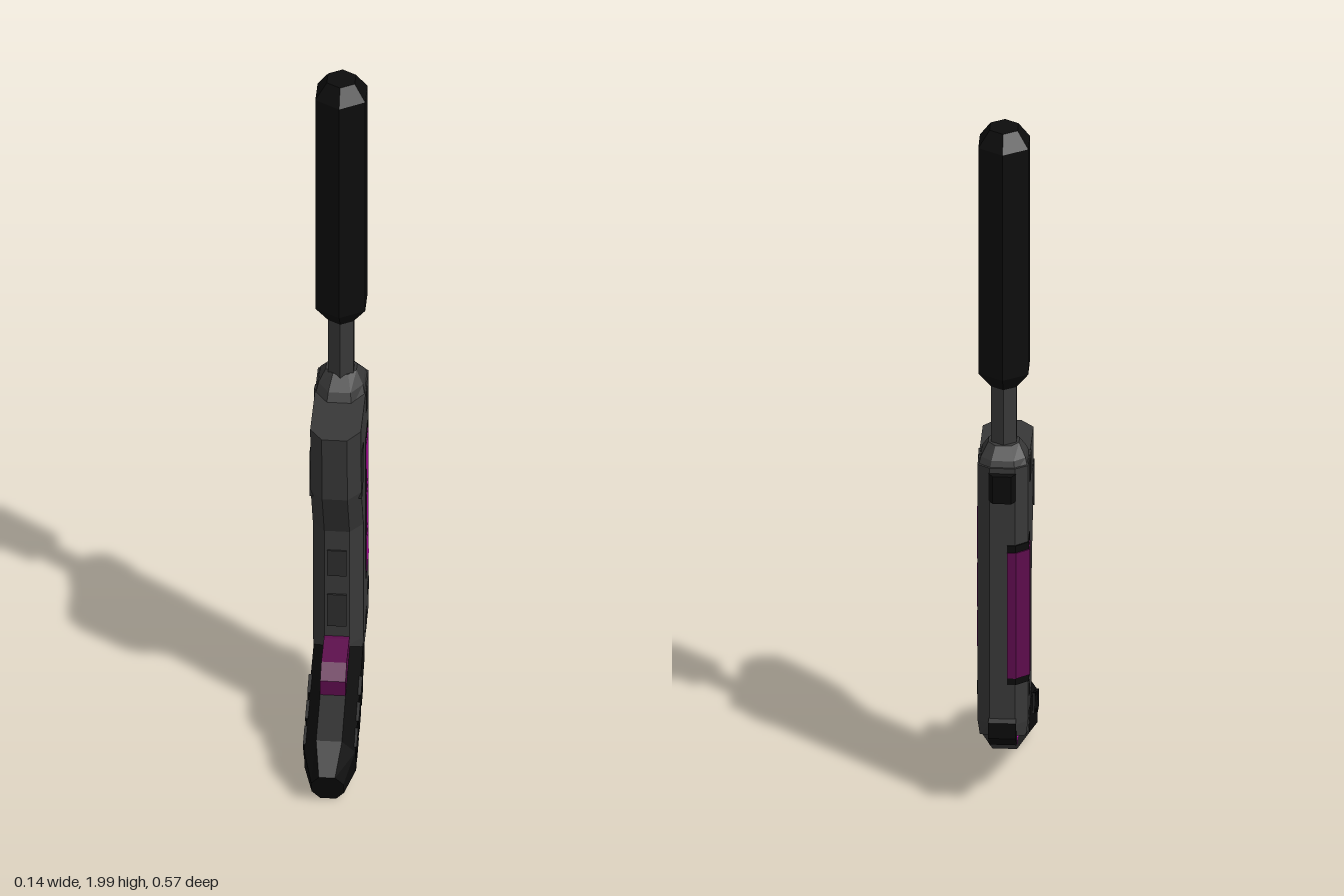
import * as THREE from 'three';

const mat = (color) => new THREE.MeshStandardMaterial({ color, flatShading: true });
const grey = mat(0x383838), dark = mat(0x2c2c2c), black = mat(0x0c0c0c);
const pink = mat(0xcc10bb), purple = mat(0x5c0c4c);

// Eight-sided loft; each section is [zA, yA, zB, yB, halfWidth],
// h = width share of the end faces, cA / cB = chamfer lengths at A and B
function loft(sections, h, cA, cB) {
  const rings = sections.map(([zA, yA, zB, yB, w]) => {
    const len = Math.hypot(zB - zA, yB - yA);
    const a = Math.min(cA / len, 0.3), b = 1 - Math.min(cB / len, 0.3);
    return [[-h, 0], [h, 0], [1, a], [1, b], [h, 1], [-h, 1], [-1, b], [-1, a]]
      .map(([x, t]) => [x * w, yA + (yB - yA) * t, zA + (zB - zA) * t]);
  });
  const pos = [];
  const tri = (...p) => p.forEach((v) => pos.push(...v));
  for (let s = 0; s < rings.length - 1; s++) {
    for (let i = 0; i < 8; i++) {
      const j = (i + 1) % 8, r = rings[s], q = rings[s + 1];
      tri(r[i], r[j], q[j]);
      tri(r[i], q[j], q[i]);
    }
  }
  const first = rings[0], last = rings[rings.length - 1];
  for (let i = 1; i < 7; i++) {
    tri(first[0], first[i + 1], first[i]);
    tri(last[0], last[i], last[i + 1]);
  }
  const g = new THREE.BufferGeometry();
  g.setAttribute('position', new THREE.Float32BufferAttribute(pos, 3));
  g.computeVertexNormals();
  return g;
}

// Side-profile plate: points are [z, y], spanning x0..x1
function slab(pts, x0, x1) {
  const shape = new THREE.Shape(pts.map(([z, y]) => new THREE.Vector2(z, y)));
  const g = new THREE.ExtrudeGeometry(shape, { depth: x1 - x0, bevelEnabled: false });
  return g.rotateY(-Math.PI / 2).translate(x1, 0, 0);
}

// Plan-outline block: points are [x, z], spanning y0..y1
function block(pts, y0, y1) {
  const shape = new THREE.Shape(pts.map(([x, z]) => new THREE.Vector2(x, -z)));
  const g = new THREE.ExtrudeGeometry(shape, { depth: y1 - y0, bevelEnabled: false });
  return g.rotateX(-Math.PI / 2).translate(0, y0, 0);
}

export function createModel() {
  const group = new THREE.Group();
  const add = (name, geo, m) => {
    const mesh = new THREE.Mesh(geo, m);
    mesh.name = name;
    group.add(mesh);
    return mesh;
  };
  const lathe = (pts) =>
    new THREE.LatheGeometry(pts.map(([r, y]) => new THREE.Vector2(r, y)), 6).translate(0, 0, -0.185);

  // Six-sided barrel and its neck
  add('barrel', lathe([[0, 1.24], [0.036, 1.24], [0.075, 1.29], [0.075, 1.955], [0.042, 2], [0, 2]]), black);
  add('neck', lathe([[0.038, 1.04], [0.038, 1.26]]), grey);

  // Main body and the stepped collar on top
  add('body', loft([
    [-0.06, 0.165, -0.265, 0.245, 0.06],
    [-0.042, 0.3, -0.27, 0.28, 0.066],
    [-0.04, 0.66, -0.27, 0.66, 0.066],
    [0.03, 0.81, -0.27, 0.81, 0.066],
    [0.045, 1.01, -0.268, 1.035, 0.066],
  ], 0.5, 0.04, 0.025), grey);
  add('collar', loft([
    [-0.1, 1.01, -0.268, 1.02, 0.066],
    [-0.12, 1.045, -0.255, 1.05, 0.058],
    [-0.155, 1.08, -0.227, 1.08, 0.04],
  ], 0.5, 0.04, 0.025), grey);

  // Slanted grip with a tapered end
  add('grip', loft([
    [-0.16, 0.15, -0.1, 0.32, 0.064],
    [0.155, 0.01, 0.215, 0.172, 0.067],
    [0.24, 0.008, 0.285, 0.105, 0.042],
  ], 0.5, 0.045, 0.045), black);
  for (const s of [-1, 1]) {
    for (let i = 0; i < 3; i++) {
      const z = -0.02 + i * 0.07, y = 0.18 - i * 0.033;
      const x0 = s > 0 ? 0.05 : -0.07;
      add('gripPlate', slab([[z, y], [z + 0.05, y - 0.024], [z + 0.07, y + 0.026], [z + 0.02, y + 0.05]], x0, x0 + 0.02), black);
    }
  }

  // Trigger
  add('trigger', slab([[-0.06, 0.28], [0.09, 0.2], [0.092, 0.275], [0.055, 0.31], [-0.03, 0.325], [-0.06, 0.325]], -0.033, 0.033), purple);

  // Lit window on the left side: frame and three panes
  add('windowFrame', slab([[-0.15, 0.435], [-0.14, 0.885], [-0.208, 0.9], [-0.217, 0.465]], 0.05, 0.0675), black);
  for (const [y0, y1] of [[0.455, 0.56], [0.57, 0.7], [0.71, 0.865]]) {
    const front = (y) => -0.157 + (y - 0.45) * 0.02;
    add('windowPane', slab([
      [front(y0), y0], [front(y1), y1], [front(y1) - 0.048, y1 + 0.018], [front(y0) - 0.05, y0 + 0.022],
    ], 0.055, 0.0695), pink);
  }

  // Panel wrapped round the right rear corner
  const wrap = (o, end) => [
    [-0.015, -0.24], [-0.055, -0.2], [-0.064 - o, end], [-0.065 - o, -0.247 - o * 0.5], [-0.034 - o * 0.4, -0.27 - o], [-0.012, -0.27 - o],
  ];
  add('cornerFrame', block(wrap(0.003, -0.188), 0.4, 0.81), black);
  add('cornerPanel', block(wrap(0.006, -0.2), 0.42, 0.79), purple);

  // Black rear caps, top and bottom
  const cap = [[0.036, -0.25], [0.036, -0.268], [0.024, -0.286], [-0.024, -0.286], [-0.036, -0.268], [-0.036, -0.25]];
  add('upperRearCap', block(cap, 0.94, 1.02), black);
  add('lowerRearCap', slab([[-0.2, 0.23], [-0.245, 0.207], [-0.282, 0.245], [-0.282, 0.29], [-0.25, 0.31]], -0.036, 0.036), black);

  // Small light under the body
  add('lowerLight', slab([[-0.155, 0.19], [-0.215, 0.195], [-0.225, 0.25], [-0.15, 0.25]], -0.036, 0.036), pink);

  // Thin raised plates on both sides
  const plates = [
    [[-0.15, 0.965], [-0.185, 0.955], [-0.19, 1.02], [-0.15, 1.03]],
    [[-0.01, 0.79], [-0.055, 0.82], [-0.065, 0.93], [-0.015, 0.93]],
    [[-0.205, 0.345], [-0.235, 0.35], [-0.235, 0.385], [-0.205, 0.38]],
    [[-0.135, 0.275], [-0.17, 0.285], [-0.175, 0.33], [-0.135, 0.32]],
  ];
  for (const p of plates) {
    add('leftPlate', slab(p, 0.05, 0.068), dark);
    add('rightPlate', slab(p, -0.069, -0.05), dark);
  }
  for (const [y0, y1] of [[0.36, 0.46], [0.52, 0.6]]) {
    add('frontPlate', new THREE.BoxGeometry(0.05, y1 - y0, 0.02).translate(0, (y0 + y1) / 2, -0.046), dark);
  }
  return group;
}
